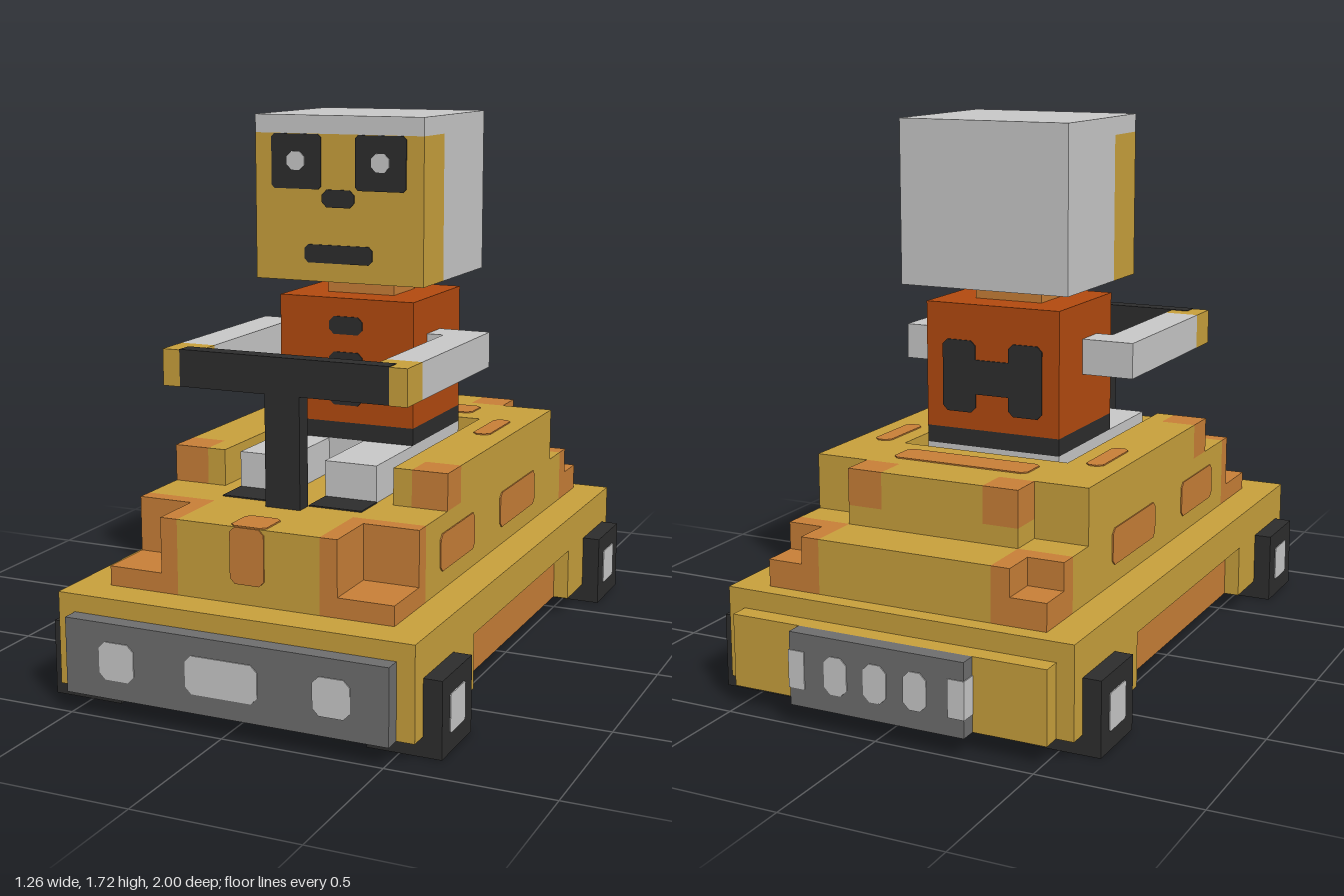
import * as THREE from 'three';

const paint = (name, color) => Object.assign(new THREE.MeshStandardMaterial({ color }), { name });

export function createModel() {
  const yellow = paint('yellow', 0xc8a03c);
  const orange = paint('orange', 0xc87f37);
  const red = paint('rust red', 0xb34a0f);
  const black = paint('black', 0x2d2d2d);
  const steel = paint('steel grey', 0x6e6e6e);
  const light = paint('light grey', 0xc8c8c8);

  const model = new THREE.Group();
  model.name = 'kartWithDriver';
  let parent = model;
  const section = (name) => {
    parent = new THREE.Group();
    parent.name = name;
    model.add(parent);
  };
  const add = (name, geo, mat, x, y, z) => {
    const mesh = new THREE.Mesh(geo, mat);
    mesh.name = name;
    mesh.position.set(x, y, z);
    parent.add(mesh);
  };

  // Box given by its limits
  const box = (name, mat, x0, x1, y0, y1, z0, z1) =>
    add(name, new THREE.BoxGeometry(x1 - x0, y1 - y0, z1 - z0), mat, (x0 + x1) / 2, (y0 + y1) / 2, (z0 + z1) / 2);
  // Box mirrored on both sides
  const pair = (name, mat, x0, x1, ...rest) => {
    box(name + 'Left', mat, x0, x1, ...rest);
    box(name + 'Right', mat, -x1, -x0, ...rest);
  };

  // Thin plate with clipped corners lying on one face
  const turn = {
    front: (g) => g,
    back: (g) => g.rotateY(Math.PI),
    top: (g) => g.rotateX(-Math.PI / 2),
    left: (g) => g.rotateY(Math.PI / 2),
    right: (g) => g.rotateY(-Math.PI / 2),
  };
  const spot = (name, mat, face, x, y, z, w, h, c = 0.016) => {
    const a = w / 2, b = h / 2;
    const pts = [[-a + c, -b], [a - c, -b], [a, -b + c], [a, b - c], [a - c, b], [-a + c, b], [-a, b - c], [-a, -b + c]];
    const shape = new THREE.Shape(pts.map(([u, v]) => new THREE.Vector2(u, v)));
    const geo = new THREE.ExtrudeGeometry(shape, { depth: 0.004, bevelEnabled: false });
    add(name, turn[face](geo), mat, x, y, z);
  };

  // Chassis with recessed side panels
  section('chassis');
  box('chassisDeck', yellow, -0.57, 0.57, 0.23, 0.345, -0.885, 0.945);
  box('floor', yellow, -0.515, 0.515, 0.06, 0.23, -0.43, 0.49);
  box('frontLower', yellow, -0.57, 0.57, 0.06, 0.23, 0.49, 0.945);
  box('rearLower', yellow, -0.57, 0.57, 0.06, 0.23, -0.885, -0.43);
  box('rearStep', yellow, -0.515, 0.515, 0.06, 0.285, -0.945, -0.885);
  pair('sidePanel', orange, 0.515, 0.52, 0.06, 0.23, -0.43, 0.49);

  // Bumpers with lamps
  section('bumpers');
  box('frontBumper', steel, -0.515, 0.515, 0.06, 0.29, 0.945, 0.997);
  for (const [x, w] of [[-0.343, 0.115], [0, 0.23], [0.343, 0.115]])
    spot('frontLamp', light, 'front', x, 0.176, 0.996, w, 0.115, 0.02);
  box('rearBumper', steel, -0.285, 0.285, 0.06, 0.285, -0.997, -0.945);
  for (const x of [-0.13, 0, 0.13]) spot('rearLamp', light, 'back', x, 0.173, -0.996, 0.075, 0.115, 0.02);
  pair('rearCornerLamp', light, 0.235, 0.288, 0.115, 0.23, -1, -0.946);

  // Square wheels, hubs and axles
  section('wheels');
  for (const z of [0.772, -0.715]) {
    pair('wheel', black, 0.4, 0.627, 0, 0.23, z - 0.114, z + 0.114);
    for (const s of [1, -1])
      spot('hub', light, s > 0 ? 'left' : 'right', s * 0.626, 0.116, z, 0.115, 0.115, 0.006);
    box('axleWell', black, -0.4, 0.4, 0.055, 0.064, z - 0.114, z + 0.114);
    box('axle', steel, -0.4, 0.4, 0.051, 0.06, z - 0.057, z + 0.057);
  }

  // Lower body tier with stepped orange corners
  section('body');
  box('lowerBody', yellow, -0.46, 0.46, 0.345, 0.515, -0.655, 0.6);
  box('middleBody', yellow, -0.46, 0.46, 0.515, 0.575, -0.545, 0.6);
  box('hood', yellow, -0.23, 0.23, 0.345, 0.575, 0.6, 0.83);
  pair('hoodCornerBack', orange, 0.23, 0.46, 0.345, 0.575, 0.6, 0.65);
  pair('hoodCornerInner', orange, 0.23, 0.285, 0.345, 0.575, 0.65, 0.83);
  pair('hoodCornerStep', orange, 0.285, 0.46, 0.345, 0.405, 0.65, 0.83);
  box('rearDeck', yellow, -0.285, 0.285, 0.345, 0.515, -0.83, -0.655);
  pair('rearCornerInner', orange, 0.285, 0.345, 0.345, 0.515, -0.83, -0.655);
  pair('rearCornerOuter', orange, 0.345, 0.46, 0.345, 0.515, -0.715, -0.655);
  pair('rearCornerStep', orange, 0.345, 0.46, 0.345, 0.43, -0.83, -0.715);

  // Upper tier around the open cockpit
  pair('cockpitSide', yellow, 0.285, 0.46, 0.575, 0.69, -0.545, 0.32);
  pair('cockpitFrontInner', yellow, 0.285, 0.345, 0.575, 0.69, 0.32, 0.43);
  pair('cockpitFrontCorner', orange, 0.345, 0.46, 0.575, 0.69, 0.32, 0.43);
  box('cockpitBack', yellow, -0.285, 0.285, 0.575, 0.69, -0.545, -0.31);
  box('rearLedge', yellow, -0.285, 0.285, 0.515, 0.575, -0.655, -0.545);
  box('rearUpper', yellow, -0.17, 0.17, 0.575, 0.69, -0.655, -0.545);
  pair('rearUpperCorner', orange, 0.17, 0.285, 0.575, 0.69, -0.655, -0.545);

  // Painted rust patches
  section('patches');
  for (const s of [1, -1]) {
    const face = s > 0 ? 'left' : 'right';
    spot('sidePatchFront', orange, face, s * 0.46, 0.461, 0.347, 0.285, 0.115);
    spot('sidePatchRear', orange, face, s * 0.46, 0.461, -0.2, 0.34, 0.115);
    spot('cockpitPatch', orange, 'top', s * 0.37, 0.69, -0.2, 0.057, 0.225);
  }
  spot('rearTopPatch', orange, 'top', 0, 0.69, -0.432, 0.457, 0.11);
  spot('hoodTopPatch', orange, 'top', 0, 0.575, 0.772, 0.115, 0.115);
  spot('hoodFrontPatch', orange, 'front', 0, 0.49, 0.83, 0.11, 0.17);

  // Steering column, handlebar and foot wells
  section('steering');
  box('column', black, -0.057, 0.057, 0.575, 0.92, 0.545, 0.6);
  box('handlebar', black, -0.343, 0.343, 0.918, 1.032, 0.545, 0.6);
  pair('footWell', black, 0.06, 0.232, 0.573, 0.579, 0.43, 0.545);

  // Driver body
  section('driver');
  box('hips', light, -0.23, 0.23, 0.575, 0.69, -0.255, 0.145);
  pair('leg', light, 0.06, 0.23, 0.575, 0.69, 0.145, 0.43);
  box('belt', black, -0.23, 0.23, 0.69, 0.745, -0.255, 0.145);
  box('torso', red, -0.23, 0.23, 0.745, 1.145, -0.255, 0.145);
  for (const y of [1.058, 0.944, 0.83]) spot('button', black, 'front', 0, y, 0.145, 0.115, 0.057);
  for (const x of [-0.115, 0.115]) spot('backPatchSide', black, 'back', x, 0.915, -0.255, 0.115, 0.23);
  spot('backPatchMiddle', black, 'back', 0, 0.915, -0.255, 0.125, 0.11, 0);
  box('neck', orange, -0.115, 0.115, 1.145, 1.2, -0.14, 0.03);

  // Arms reaching for the handlebar
  pair('shoulder', light, 0.23, 0.285, 0.917, 1.03, -0.08, 0.03);
  pair('arm', light, 0.285, 0.4, 0.917, 1.03, -0.08, 0.487);
  pair('hand', yellow, 0.285, 0.4, 0.917, 1.03, 0.487, 0.545);
  pair('knuckles', yellow, 0.343, 0.4, 0.917, 1.03, 0.545, 0.6);

  // Head with hair cap and face
  section('head');
  box('face', yellow, -0.285, 0.285, 1.202, 1.66, 0.035, 0.2);
  box('hairTop', light, -0.285, 0.285, 1.66, 1.717, 0.035, 0.2);
  box('hairBack', light, -0.285, 0.285, 1.202, 1.717, -0.315, 0.035);
  for (const s of [1, -1]) {
    spot('eye', black, 'front', s * 0.143, 1.574, 0.2, 0.17, 0.17, 0.01);
    spot('pupil', light, 'front', s * 0.143, 1.576, 0.203, 0.06, 0.057);
  }
  spot('nose', black, 'front', 0, 1.462, 0.2, 0.11, 0.055);
  spot('mouth', black, 'front', 0, 1.289, 0.2, 0.23, 0.057, 0.012);

  return model;
}
